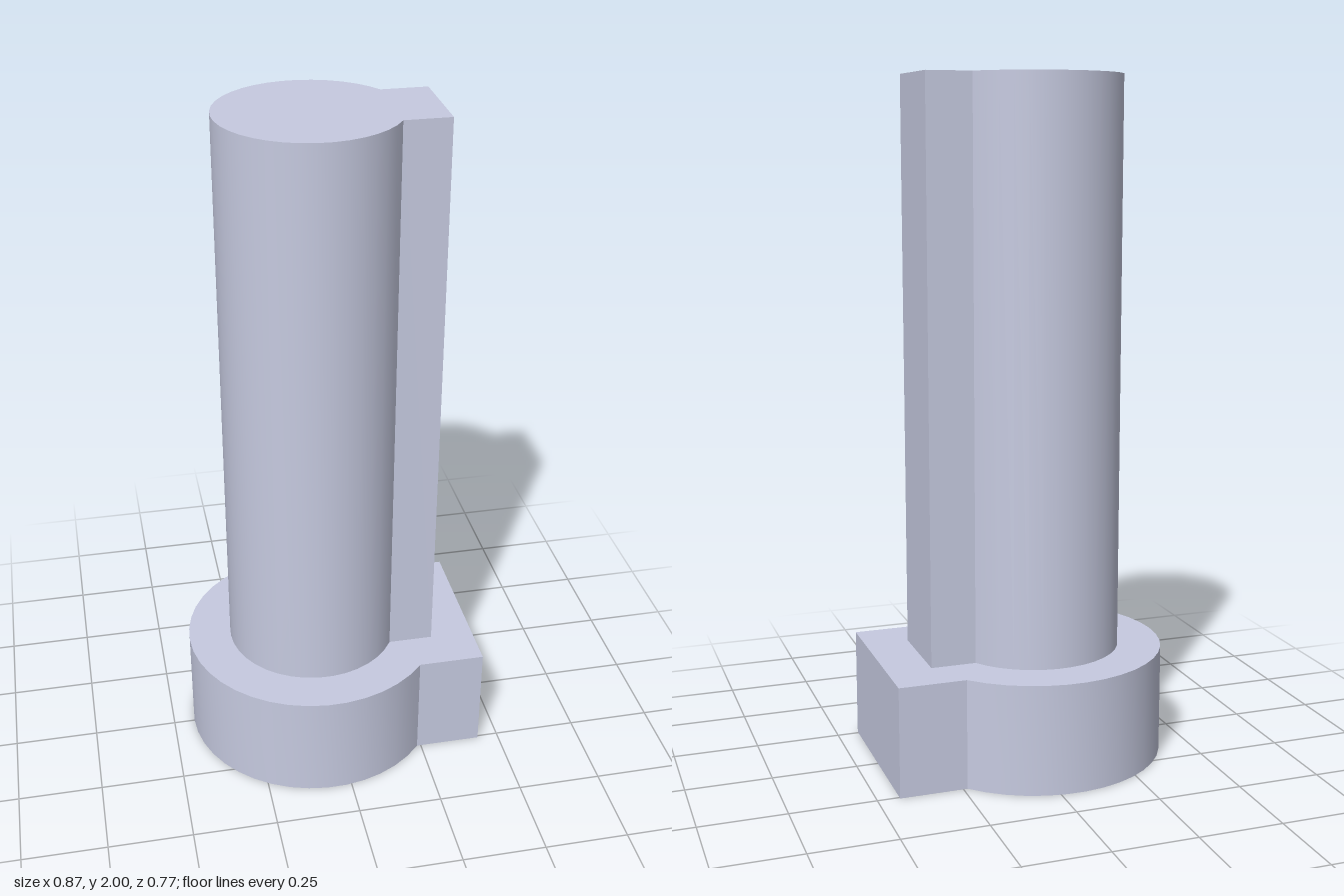
import * as THREE from 'three';
import { toCreasedNormals } from 'three/addons/utils/BufferGeometryUtils.js';

const CENTRE_X = -0.05; // axis of the round section
const HEAD_HEIGHT = 0.325;
const TOTAL_HEIGHT = 2;

// Round section with a rectangular key sticking out to +x
function keyedShape(radius, halfWidth, keyEnd) {
  const a = Math.asin(halfWidth / radius);
  const shape = new THREE.Shape();
  shape.moveTo(keyEnd, -halfWidth);
  shape.lineTo(keyEnd, halfWidth);
  shape.absarc(CENTRE_X, 0, radius, a, Math.PI * 2 - a, false);
  shape.closePath();
  return shape;
}

function keyedPrism(name, shape, bottom, top, material) {
  const extruded = new THREE.ExtrudeGeometry(shape, {
    depth: top - bottom, bevelEnabled: false, curveSegments: 16,
  });
  extruded.rotateX(-Math.PI / 2);
  extruded.translate(0, bottom, 0);
  const mesh = new THREE.Mesh(toCreasedNormals(extruded, Math.PI / 9), material);
  mesh.name = name;
  return mesh;
}

export function createModel() {
  const group = new THREE.Group();
  group.name = 'keyedPin';
  const material = new THREE.MeshStandardMaterial({ color: 0xc6cae0 });

  // Wide keyed head at the base
  group.add(keyedPrism('head', keyedShape(0.386, 0.257, 0.436), 0, HEAD_HEIGHT, material));

  // Long shaft with a full-length key
  group.add(keyedPrism('shaft', keyedShape(0.257, 0.13, 0.305), HEAD_HEIGHT, TOTAL_HEIGHT, material));

  return group;
}
